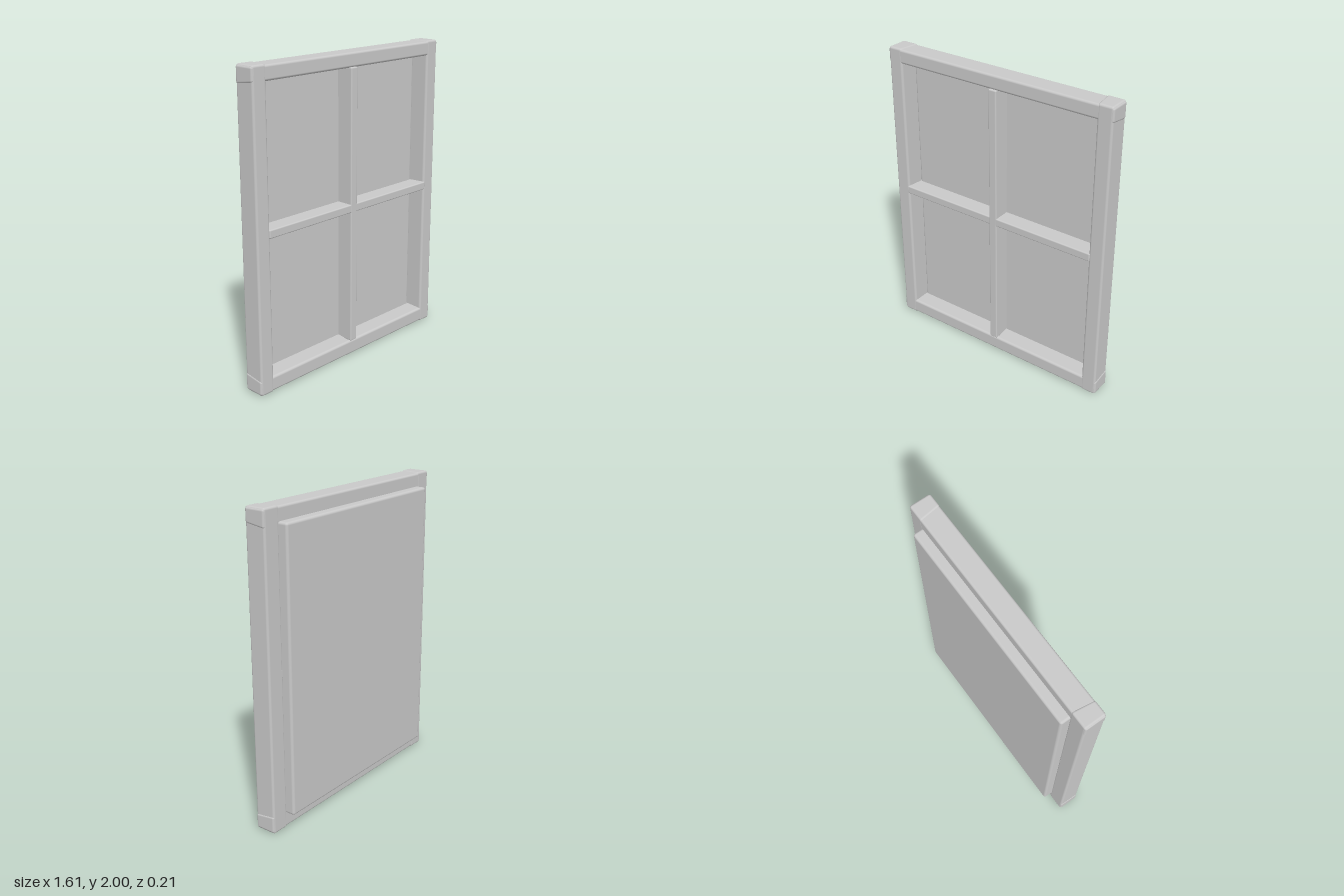
import * as THREE from 'three';
import { RoundedBoxGeometry } from 'three/addons/geometries/RoundedBoxGeometry.js';

export function createModel() {
  const model = new THREE.Group();
  model.name = 'window';
  const paint = new THREE.MeshStandardMaterial({ color: 0xc9c9c9 });
  paint.name = 'grey paint';

  // Rounded bar given by its [min, max] extent on each axis
  const bar = (name, [x0, x1], [y0, y1], [z0, z1], radius) => {
    const geometry = new RoundedBoxGeometry(x1 - x0, y1 - y0, z1 - z0, 3, radius);
    geometry.translate((x0 + x1) / 2, (y0 + y1) / 2, (z0 + z1) / 2);
    const mesh = new THREE.Mesh(geometry, paint);
    mesh.name = name;
    model.add(mesh);
    return geometry;
  };

  // Slant the side of a frame bar that faces the opening, widening it towards the back
  const slope = 0.14;
  const slantInner = (geometry, axis, middle, direction) => {
    const p = geometry.attributes.position;
    for (let i = 0; i < p.count; i++) {
      const v = p.getComponent(i, axis);
      if ((v - middle) * direction > 0) {
        p.setComponent(i, axis, v + direction * slope * (0.098 - p.getZ(i)));
      }
    }
  };

  // Outer frame: stiles run slightly past the rails in height, rails past the stiles in width
  const stileZ = [-0.043, 0.098], railZ = [-0.042, 0.097];
  slantInner(bar('leftStile', [0.703, 0.802], [0, 2], stileZ, 0.014), 0, 0.75, -1);
  slantInner(bar('rightStile', [-0.802, -0.703], [0, 2], stileZ, 0.014), 0, -0.75, 1);
  slantInner(bar('topRail', [-0.806, 0.806], [1.905, 1.995], railZ, 0.014), 1, 1.95, -1);
  slantInner(bar('bottomRail', [-0.806, 0.806], [0.005, 0.1], railZ, 0.014), 1, 0.05, 1);

  // Glazing bars crossing the opening
  bar('verticalGlazingBar', [-0.028, 0.028], [0.102, 1.906], [-0.043, 0.105], 0.008);
  bar('horizontalGlazingBar', [-0.71, 0.71], [0.99, 1.044], [-0.043, 0.104], 0.008);

  // Thick pane filling the opening and standing proud of the rear
  bar('pane', [-0.69, 0.69], [0.098, 1.91], [-0.105, -0.007], 0.016);

  return model;
}
